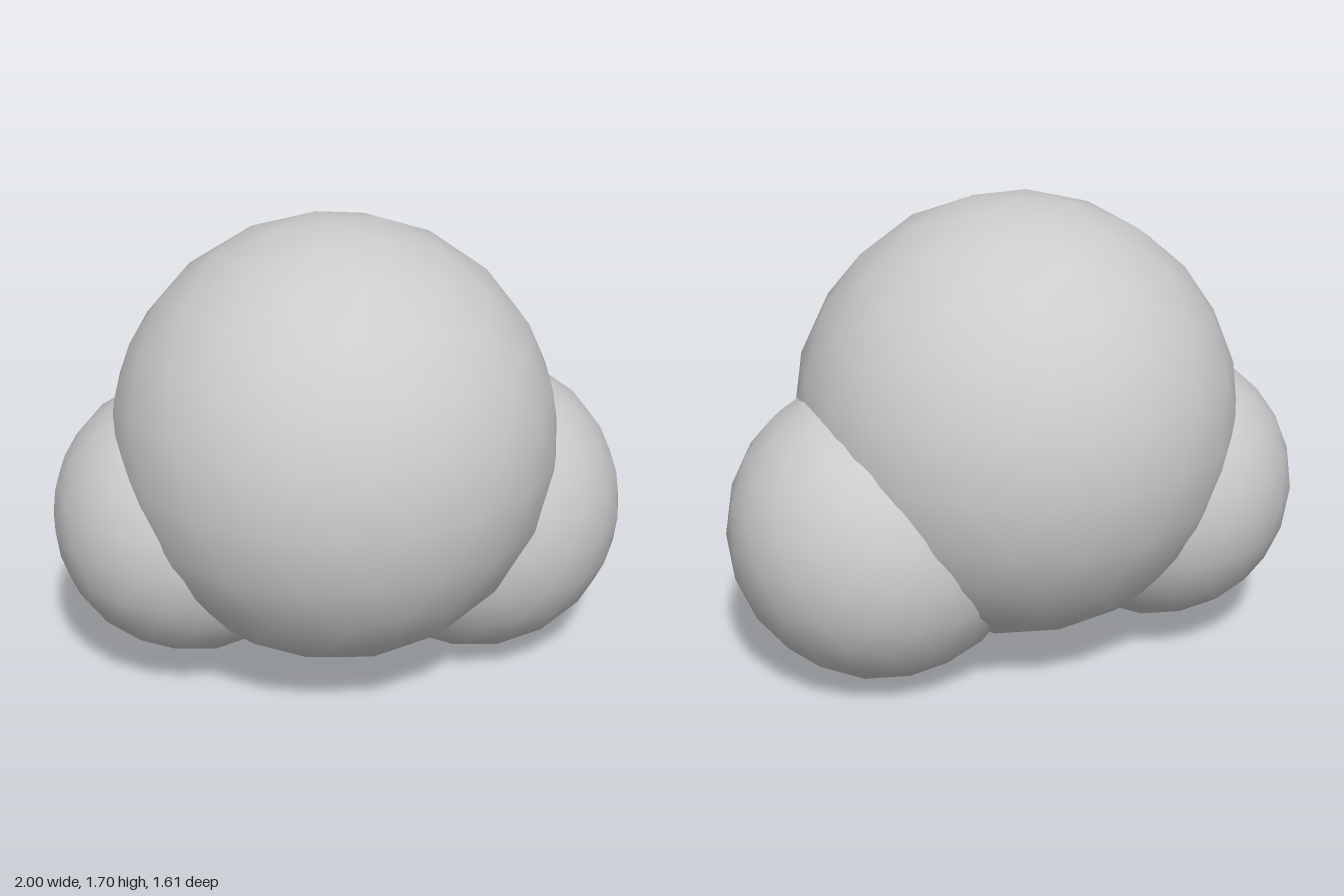
import * as THREE from 'three';

const grey = new THREE.MeshStandardMaterial({ color: 0xcccccc });
grey.name = 'plain grey';

// Smooth-shaded icosphere standing on one of its corners
function ball(name, radius, x, y, z) {
  const geometry = new THREE.IcosahedronGeometry(radius, 3);
  geometry.rotateZ(-Math.atan(2 / (1 + Math.sqrt(5))));
  const mesh = new THREE.Mesh(geometry, grey);
  mesh.name = name;
  mesh.position.set(x, y, z);
  return mesh;
}

export function createModel() {
  const group = new THREE.Group();
  group.name = 'threeBallCluster';
  group.add(
    ball('centralBall', 0.807, -0.065, 0.898, 0),
    // smaller balls sunk into the lower sides
    ball('leftBall', 0.553, 0.447, 0.553, 0.17),
    ball('rightBall', 0.51, -0.49, 0.6, -0.297),
  );
  return group;
}
